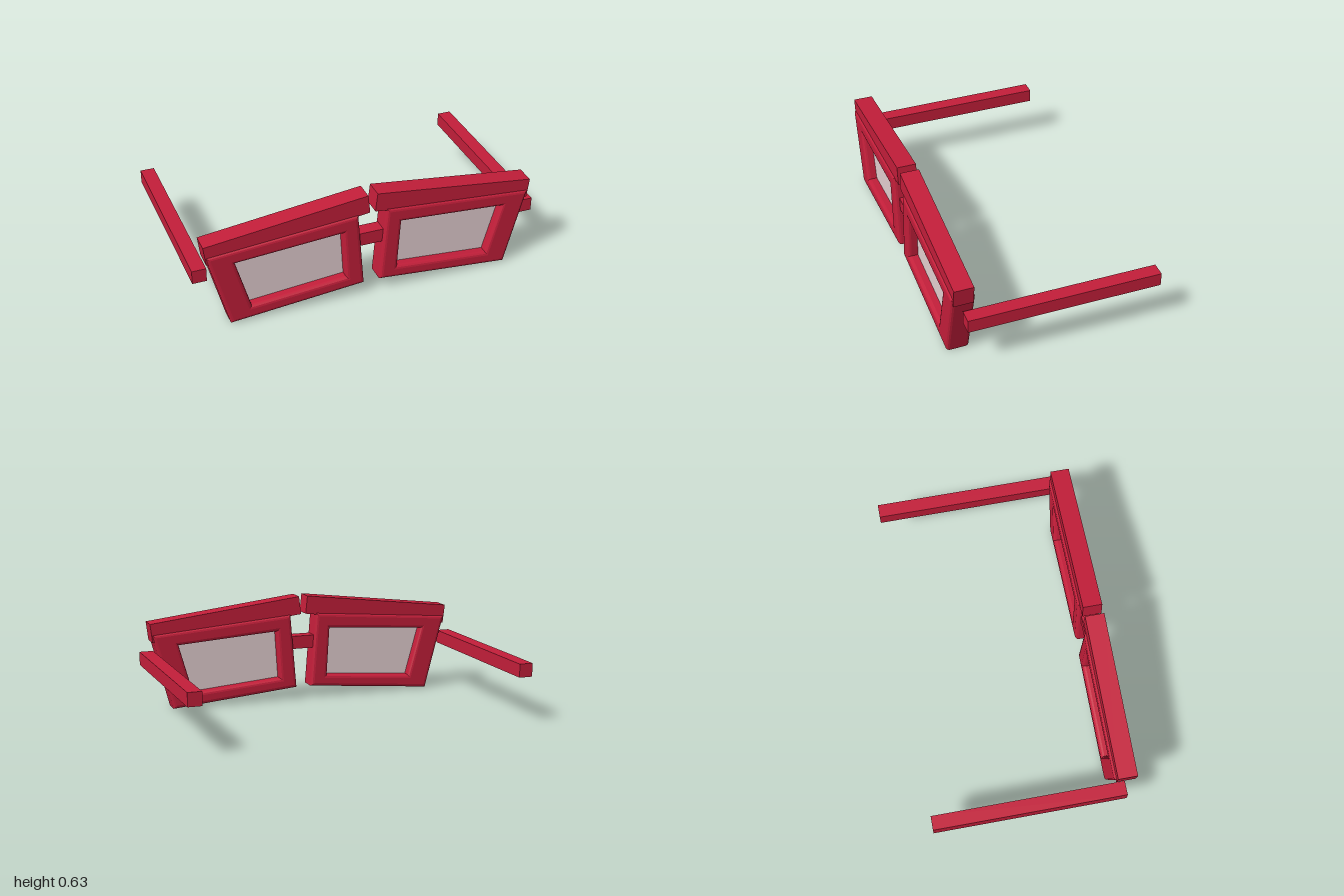
import * as THREE from 'three';

const red = new THREE.MeshStandardMaterial({ color: 0xc41e3a });
red.name = 'frame red';
const glass = new THREE.MeshStandardMaterial({ color: 0xe5d0d2 });
glass.name = 'lens pale rose';

// Outlines for the left (+x) side, counterclockwise; the other side mirrors x
const RIM = [[0.045, 0.07], [0.815, 0], [0.935, 0.452], [0.082, 0.522]];
const OPENING = [[0.152, 0.134], [0.695, 0.088], [0.778, 0.382], [0.17, 0.424]];
const LENS = [[0.14, 0.125], [0.705, 0.078], [0.792, 0.392], [0.16, 0.435]];
const BROW = [[0.015, 0.521], [0.932, 0.406], [0.946, 0.518], [0.027, 0.629]];

// Mirrored outlines are reversed so that they stay counterclockwise
function points(list, side) {
  const result = list.map(([x, y]) => new THREE.Vector2(x * side, y));
  return side < 0 ? result.reverse() : result;
}

function plate(name, outline, side, back, front, material, hole, bevel = 0) {
  const shape = new THREE.Shape(points(outline, side));
  if (hole) shape.holes.push(new THREE.Path(points(hole, side)));
  const geometry = new THREE.ExtrudeGeometry(shape, {
    depth: front - back - 2 * bevel,
    bevelEnabled: bevel > 0,
    bevelThickness: bevel,
    bevelSize: bevel,
    bevelOffset: -bevel,
    bevelSegments: 3,
  });
  geometry.translate(0, 0, back + bevel);
  const mesh = new THREE.Mesh(geometry, material);
  mesh.name = name;
  return mesh;
}

function bar(name, size, position) {
  const mesh = new THREE.Mesh(new THREE.BoxGeometry(...size), red);
  mesh.name = name;
  mesh.position.set(...position);
  return mesh;
}

export function createModel() {
  const model = new THREE.Group();
  model.name = 'glasses';

  for (const [label, side] of [['left', 1], ['right', -1]]) {
    const half = new THREE.Group();
    half.name = label + 'Half';
    half.add(
      // bevelled rim with the lens set into its middle
      plate(label + 'Rim', RIM, side, 0.445, 0.577, red, OPENING, 0.02),
      plate(label + 'Lens', LENS, side, 0.502, 0.52, glass),
      // slanted brow bar along the top of the rim
      plate(label + 'Brow', BROW, side, 0.457, 0.567, red),
      // straight temple arm
      bar(label + 'Temple', [0.08, 0.078, 1.09], [side * 0.96, 0.31, -0.032])
    );
    model.add(half);
  }

  // nose bridge joining the rims
  model.add(bar('bridge', [0.17, 0.078, 0.08], [0, 0.345, 0.51]));
  return model;
}
